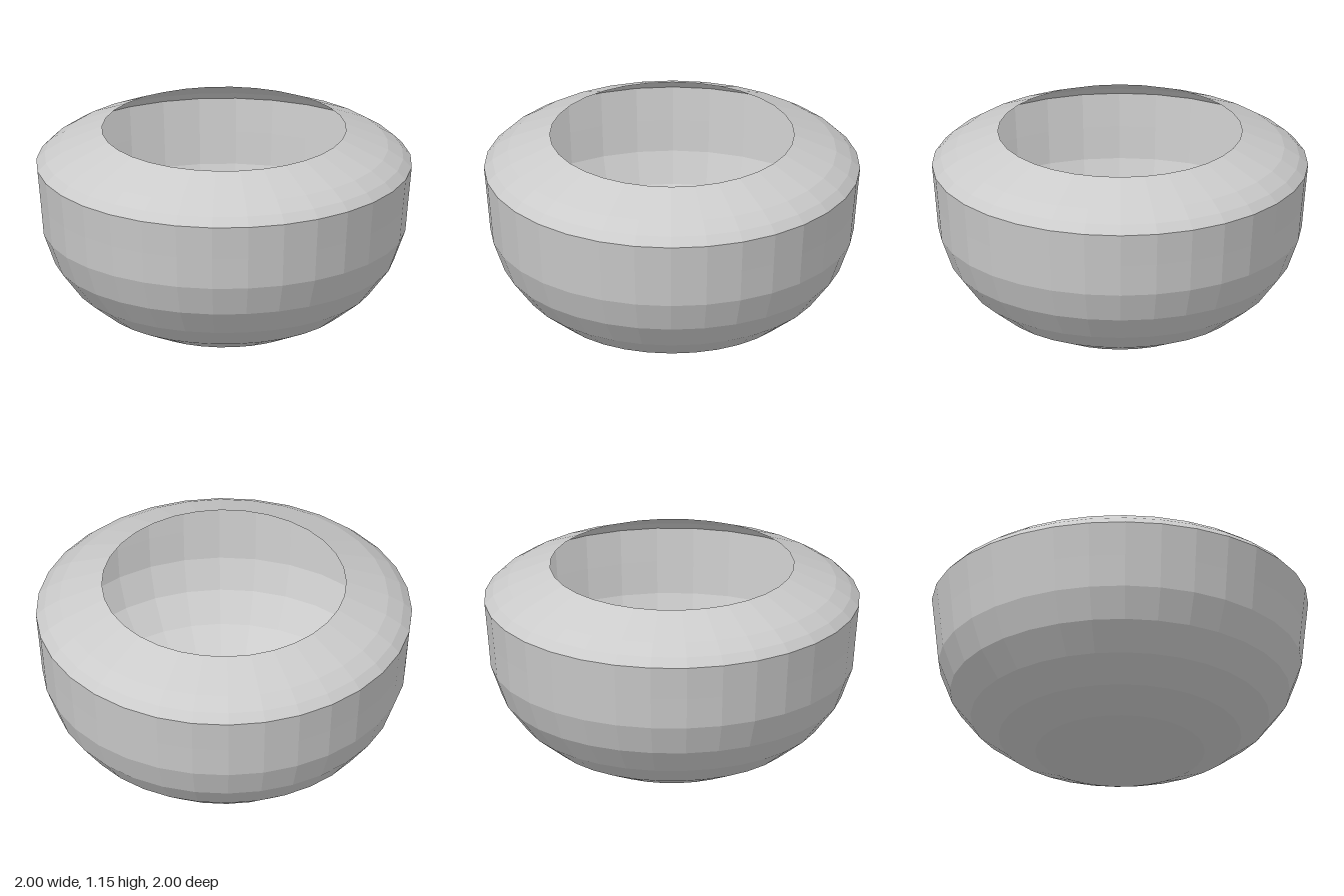
import * as THREE from 'three';

export function createModel() {
  const group = new THREE.Group();
  group.name = 'bowl';
  const material = new THREE.MeshStandardMaterial({
    color: 0xcccccc, flatShading: true, side: THREE.DoubleSide,
  });
  const SIDES = 32;

  // Spins a [radius, height] profile into a faceted thin shell
  const addShell = (name, profile) => {
    const points = profile.map(([r, y]) => new THREE.Vector2(r, y));
    const mesh = new THREE.Mesh(new THREE.LatheGeometry(points, SIDES), material);
    mesh.name = name;
    group.add(mesh);
  };

  // Rounded body, widening up to the shoulder
  addShell('body', [
    [0, 0], [0.23, 0.02], [0.45, 0.075], [0.645, 0.165], [0.795, 0.283],
    [0.905, 0.428], [0.966, 0.595], [0.982, 0.77], [1, 0.953],
  ]);

  // Sloping shoulder, closing in to the open mouth
  addShell('shoulder', [[1, 0.953], [0.955, 0.998], [0.875, 1.05], [0.65, 1.147]]);

  return group;
}
